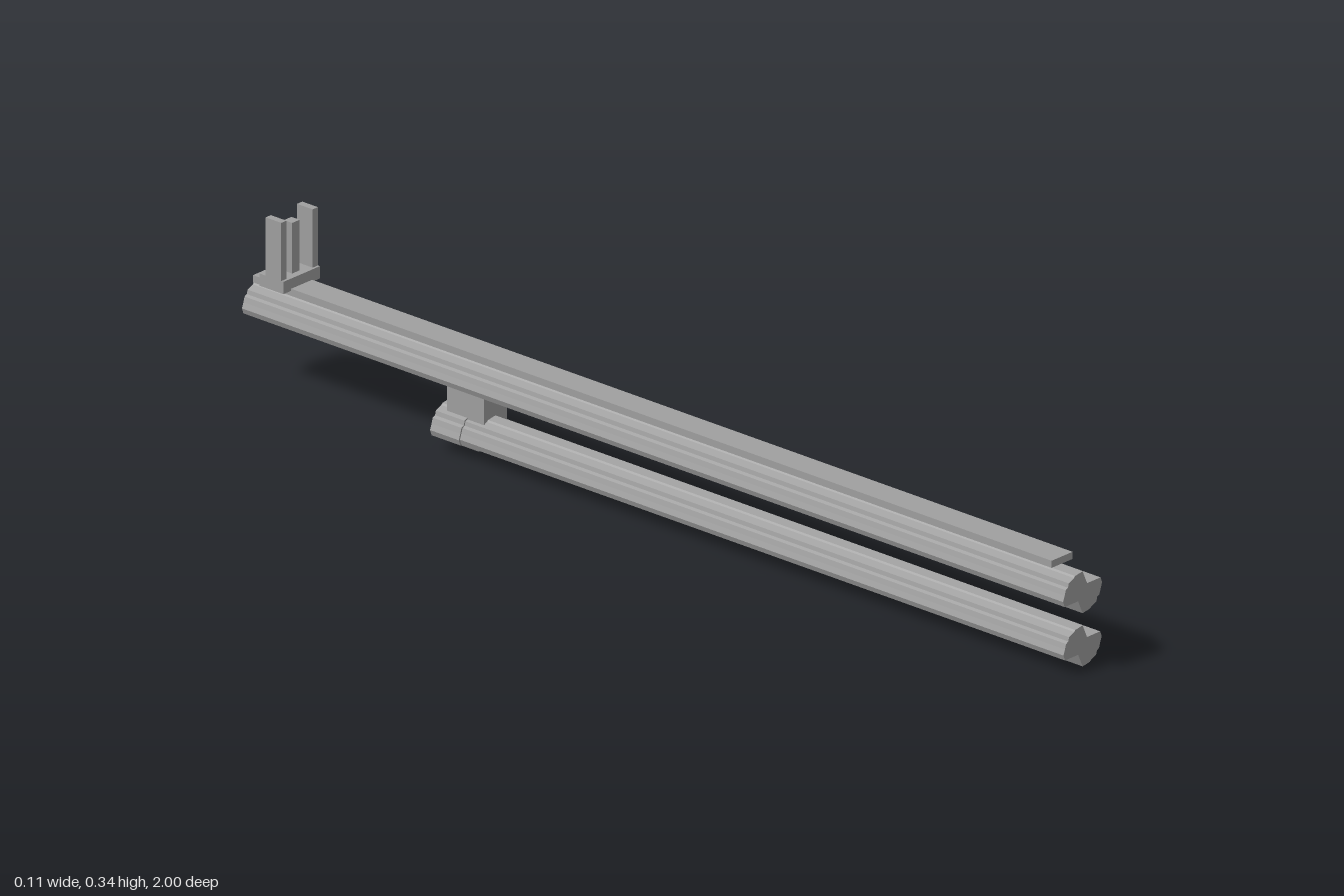
import * as THREE from 'three';

export function createModel() {
  const model = new THREE.Group();
  const metal = new THREE.MeshStandardMaterial({ color: 0xa0a0a0 });
  metal.name = 'grey metal';

  const add = (name, geometry, parent = model) => {
    const mesh = new THREE.Mesh(geometry, metal);
    mesh.name = name;
    parent.add(mesh);
    return mesh;
  };

  // Box given by its limits along each axis
  const box = (name, x0, x1, y0, y1, z0, z1, parent) => {
    const mesh = add(name, new THREE.BoxGeometry(x1 - x0, y1 - y0, z1 - z0), parent);
    mesh.position.set((x0 + x1) / 2, (y0 + y1) / 2, (z0 + z1) / 2);
    return mesh;
  };

  // Half of the notched tube section; the other half is its half-turn
  const half = [
    [0.012, 0.014], [0.048, 0.014], [0.052, 0.003], [0.048, -0.008], [0.045, -0.018],
    [0.039, -0.021], [0.037, -0.029], [0.023, -0.035], [0.02, -0.038], [0, -0.041],
  ];
  const section = [...half, ...half.map(([x, y]) => [-x, -y])];

  const tube = (name, y, z0, z1, scale = 1) => {
    const shape = new THREE.Shape(section.map(([px, py]) => new THREE.Vector2(px * scale, py * scale)));
    const mesh = add(name, new THREE.ExtrudeGeometry(shape, { depth: z1 - z0, bevelEnabled: false }));
    mesh.position.set(0, y, z0);
  };

  // Two long notched tubes, with a collar on the short one
  tube('upperTube', 0.148, -1, 1);
  tube('lowerTube', 0.043, -0.47, 1, 0.98);
  tube('lowerTubeCollar', 0.043, -0.54, -0.47, 1.04);

  // Block joining the tubes
  box('connectingBlock', -0.031, 0.031, 0.037, 0.137, -0.52, -0.43);

  // Raised rib on evenly spaced stubs
  box('topRib', -0.028, 0.028, 0.19, 0.204, -0.995, 0.95);
  const stubs = new THREE.Group();
  stubs.name = 'ribSupports';
  model.add(stubs);
  for (let i = 0; i < 11; i++) {
    const z = 0.895 - i * 0.1785;
    box('ribSupport', -0.015, 0.015, 0.175, 0.191, z - 0.01, z + 0.01, stubs);
  }

  // Three-post bracket at the back
  const bracket = new THREE.Group();
  bracket.name = 'postBracket';
  model.add(bracket);
  box('bracketBase', -0.049, 0.049, 0.2, 0.224, -0.96, -0.902, bracket);
  for (const s of [-1, 1]) {
    box('sidePost', s * 0.042 - 0.007, s * 0.042 + 0.007, 0.224, 0.338, -0.945, -0.907, bracket);
  }
  box('middlePost', -0.01, 0.01, 0.224, 0.323, -0.936, -0.916, bracket);

  return model;
}
